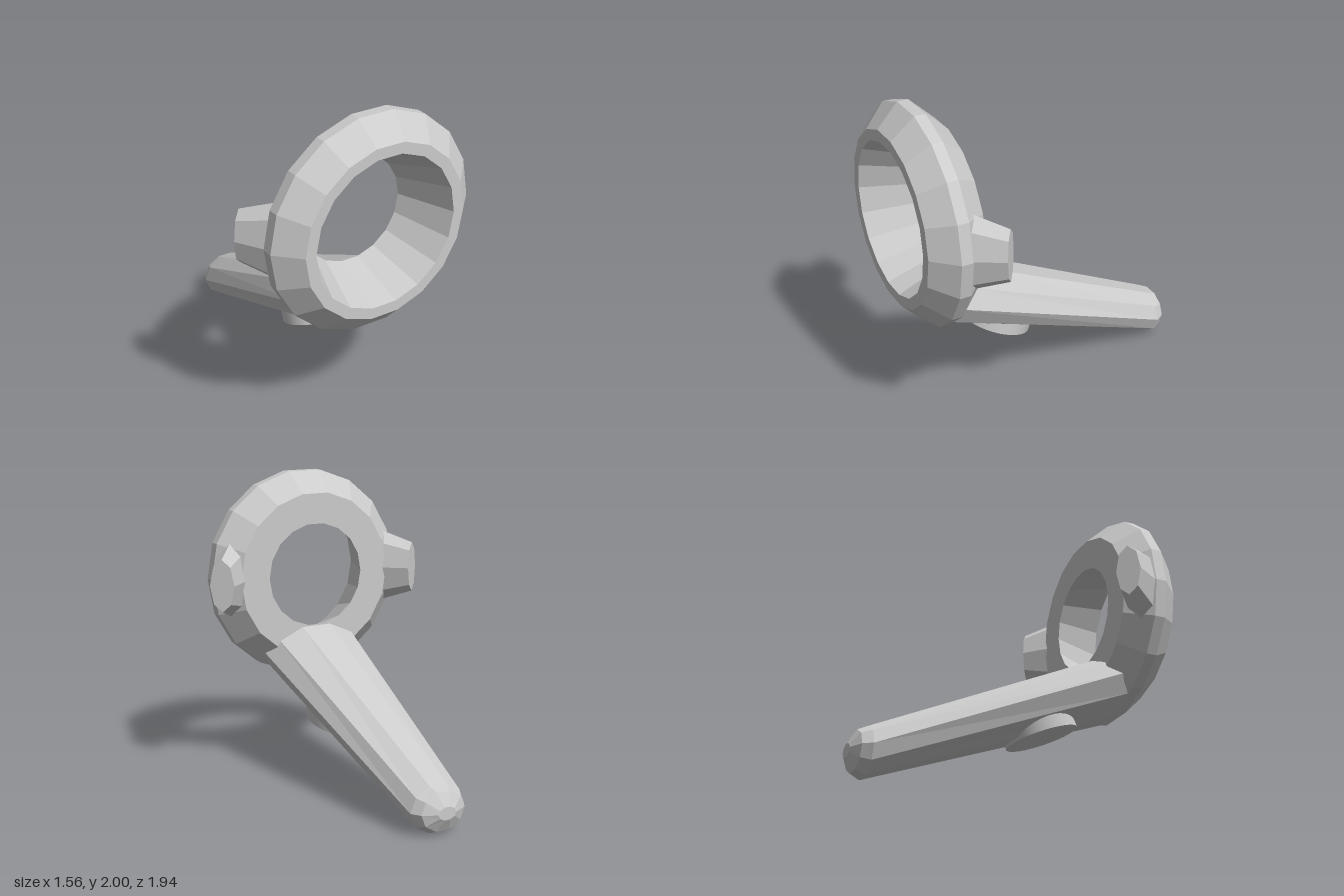
import * as THREE from 'three';

const material = new THREE.MeshStandardMaterial({ color: 0xcccccc, flatShading: true });
const smooth = new THREE.MeshStandardMaterial({ color: 0xcccccc });
const ringY = 1.32;

function part(group, name, geometry, mat = material) {
  const mesh = new THREE.Mesh(geometry, mat);
  mesh.name = name;
  group.add(mesh);
  return mesh;
}

// Bevelled ring with a tapered hole, axis along z
function ringGeometry() {
  const profile = [
    [0.345, 0.61], [0.55, 0.61], [0.69, 0.76], [0.69, 0.83],
    [0.55, 0.97], [0.48, 0.97], [0.345, 0.61],
  ].map(([r, z]) => new THREE.Vector2(r, z));
  return new THREE.LatheGeometry(profile, 18)
    .rotateX(Math.PI / 2)
    .rotateZ(Math.PI / 2)
    .translate(0, ringY, 0);
}

// Tapered ten-sided handle sloping down to a rounded tip
function handleGeometry() {
  const sides = 10;
  // Each section: z, centre y, half width, half height, slant of the section in z
  const sections = [
    [0.715, 0.812, 0.348, 0.218, 0.109],
    [-0.865, 0.149, 0.19, 0.155, 0],
    [-0.925, 0.149, 0.152, 0.127, 0],
    [-0.97, 0.149, 0.063, 0.042, 0],
  ];
  const slope = 0.42;
  const taperX = 0.1, taperY = 0.04;
  const positions = [];
  const index = [];
  for (const [z, y, rx, ry, slant] of sections) {
    for (let k = 0; k < sides; k++) {
      const a = (k / sides) * Math.PI * 2;
      const dz = -slant * Math.sin(a);
      const c = Math.cos(a), s = Math.sin(a);
      positions.push((rx + taperX * dz) * c, y + slope * dz + (ry + taperY * dz) * s, z + dz);
    }
  }
  for (let i = 0; i < sections.length - 1; i++) {
    for (let k = 0; k < sides; k++) {
      const a = i * sides + k, b = i * sides + (k + 1) % sides;
      index.push(a, a + sides, b, b, a + sides, b + sides);
    }
  }
  // End caps
  const last = (sections.length - 1) * sides;
  for (let k = 1; k < sides - 1; k++) {
    index.push(0, k, k + 1, last, last + k + 1, last + k);
  }
  const geometry = new THREE.BufferGeometry();
  geometry.setAttribute('position', new THREE.Float32BufferAttribute(positions, 3));
  geometry.setIndex(index);
  geometry.computeVertexNormals();
  return geometry;
}

// Oval eight-sided knob pointing outward and back
function knobGeometry(side) {
  return new THREE.CylinderGeometry(0.17, 0.24, 0.21, 8)
    .scale(0.47, 1, 1)
    .rotateX(-Math.PI / 2)
    .rotateY(-side * 0.69)
    .translate(side * 0.65, ringY, 0.622);
}

export function createModel() {
  const model = new THREE.Group();
  model.name = 'ringWithHandle';

  part(model, 'ring', ringGeometry());
  part(model, 'handle', handleGeometry());
  part(model, 'leftKnob', knobGeometry(1));
  part(model, 'rightKnob', knobGeometry(-1));

  // Round pad set into the underside of the handle
  const tilt = -Math.atan(0.36);
  const height = 0.12;
  const pad = part(model, 'undersidePad', new THREE.CylinderGeometry(0.232, 0.232, height, 32), smooth);
  pad.rotation.x = tilt;
  pad.position.set(0, 0.4225 + Math.cos(tilt) * height / 2, 0.29 + Math.sin(tilt) * height / 2);

  return model;
}
